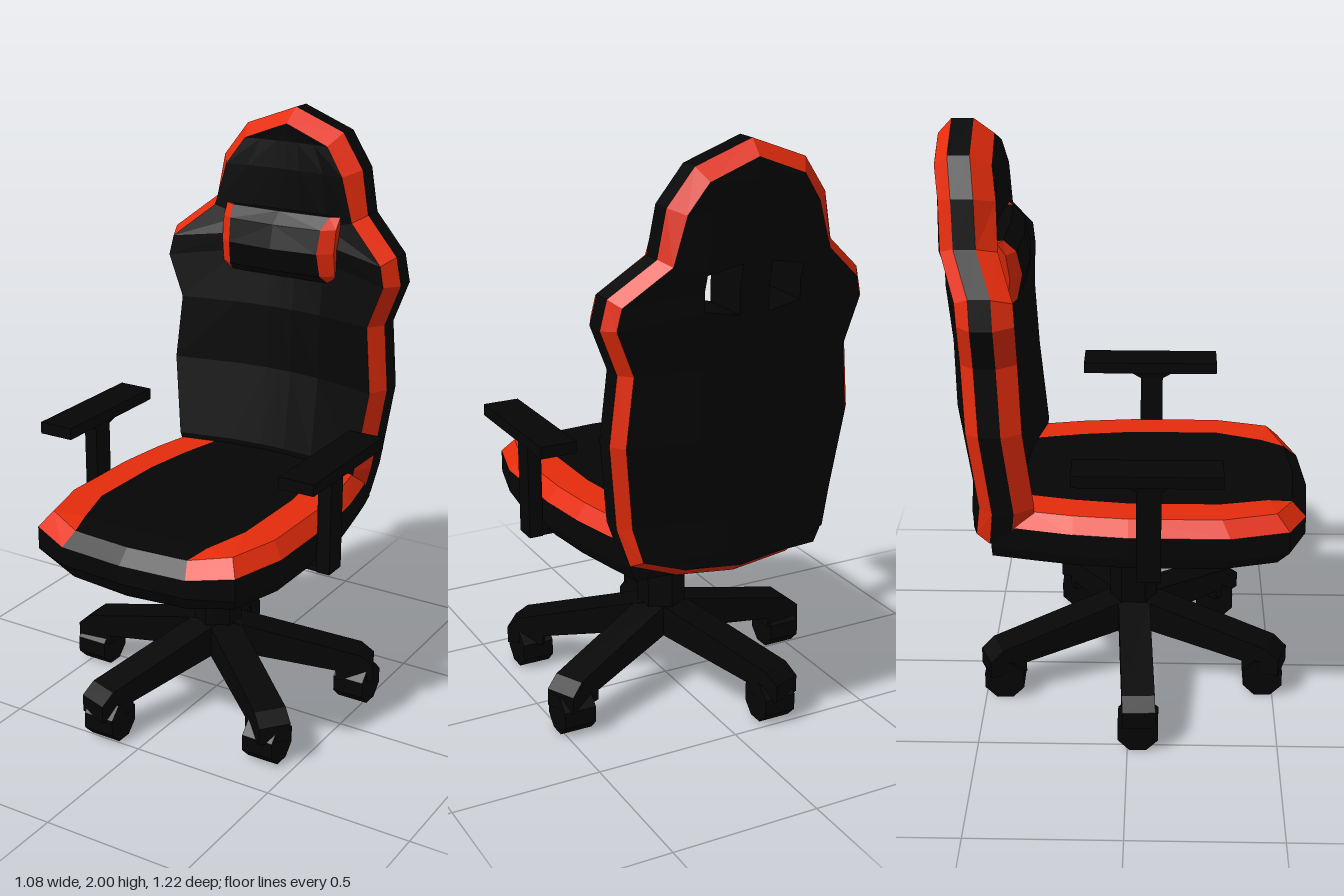
import * as THREE from 'three';

const black = new THREE.MeshStandardMaterial({ color: 0x050505 });
black.name = 'black leather';
const red = new THREE.MeshStandardMaterial({ color: 0xe62c0c });
red.name = 'red trim';

// Triangles of the band between two point rows
function strip(a, b) {
  const out = [];
  for (let i = 0; i < a.length - 1; i++) {
    out.push([a[i], a[i + 1], b[i + 1]], [a[i], b[i + 1], b[i]]);
  }
  return out;
}

// Flat-faced mesh from triangles of the left half, mirrored to the right
function mirrored(name, tris, material) {
  const flip = ([x, y, z]) => [-x, y, z];
  const all = [...tris, ...tris.map(([a, b, c]) => [flip(a), flip(c), flip(b)])];
  const geo = new THREE.BufferGeometry();
  geo.setAttribute('position', new THREE.Float32BufferAttribute(all.flat(2), 3));
  geo.computeVertexNormals();
  const mesh = new THREE.Mesh(geo, material);
  mesh.name = name;
  return mesh;
}

function part(name, geo, x, y, z, parent) {
  const mesh = new THREE.Mesh(geo.index ? geo.toNonIndexed() : geo, black);
  mesh.geometry.computeVertexNormals();
  mesh.name = name;
  mesh.position.set(x, y, z);
  parent.add(mesh);
  return mesh;
}

function createBackrest() {
  const g = new THREE.Group();
  g.name = 'backrest';
  // Outline of the left half from top to bottom: x, y, z of the front side edge
  const edge = [
    [0, 2, -0.495], [0.187, 1.93, -0.49], [0.27, 1.815, -0.475], [0.298, 1.665, -0.47],
    [0.435, 1.55, -0.415], [0.457, 1.455, -0.41], [0.402, 1.31, -0.41], [0.425, 1.085, -0.4],
    [0.39, 0.8, -0.37], [0.35, 0.67, -0.385], [0.2, 0.62, -0.41], [0, 0.6, -0.42],
  ];
  const ring = (inset, dz) => edge.map(([x, y, z], i) => {
    const p = edge[Math.max(i - 1, 0)], n = edge[Math.min(i + 1, edge.length - 1)];
    const dx = n[0] - p[0], dy = n[1] - p[1], len = Math.hypot(dx, dy);
    const w = inset * (y > 1.7 ? 1.2 : 0.85);
    if (x === 0) return [0, y + (y > 1 ? -w : w), z + dz];
    return [x + (dy / len) * w, y - (dx / len) * w, z + dz];
  });
  const front = ring(0.04, 0.065), side = ring(0, 0), rear = ring(0, -0.07), back = ring(0.04, -0.115);
  g.add(mirrored('frontTrim', strip(front, side), red));
  g.add(mirrored('sideBand', strip(side, rear), black));
  g.add(mirrored('rearTrim', strip(rear, back), red));

  // Column of a panel that bows backwards towards the middle, with its slot heights
  const column = (rim, share, maxX, slotY) => rim.map(([rx, ry, rz], i) => {
    const x = Math.min(maxX, rx * share);
    return [x, i > 2 && i < 6 ? slotY[i - 3] : ry, rz - 0.4 * (rx * rx - x * x)];
  });
  const columns = (rim) => [
    column(rim, 0.65, 0.165, [1.615, 1.56, 1.5]),
    column(rim, 0.25, 0.05, [1.64, 1.56, 1.48]),
    column(rim, 0, 0, [1.64, 1.56, 1.48]),
  ];
  const [fOuter, fInner, fMid] = columns(front);
  const [bOuter, bInner, bMid] = columns(back);
  // The two quads at rows 3 and 4 stay open as a slot behind the pillow
  const slotted = (tris) => [...tris.slice(0, 6), ...tris.slice(10)];
  g.add(mirrored('frontPanel', [
    ...strip(fOuter, front), ...slotted(strip(fInner, fOuter)), ...strip(fMid, fInner),
  ], black));
  g.add(mirrored('backPanel', [
    ...strip(back, bOuter), ...slotted(strip(bOuter, bInner)), ...strip(bInner, bMid),
  ], black));
  const slot = (outer, inner) => [
    inner[3], outer[3], outer[4], outer[5], inner[5], inner[4], inner[3],
  ];
  g.add(mirrored('slotWalls', strip(slot(bOuter, bInner), slot(fOuter, fInner)), black));
  return g;
}

function createPillow() {
  const g = new THREE.Group();
  g.name = 'headPillow';
  // Rows from top to bottom: height and fullness
  const rows = [[1.66, 0.5], [1.62, 0.85], [1.54, 1], [1.46, 0.85], [1.43, 0.5]];
  const column = (x, depth, pinch) => [
    [x, 1.655, -0.45],
    ...rows.map(([y, f]) => [x - pinch * f, y, -0.45 + depth * f]),
    [x, 1.435, -0.45],
  ];
  const middle = column(0, 0.125, 0), seam = column(0.207, 0.11, 0.035);
  const end = column(0.225, 0.075, 0.005), root = column(0.228, 0, 0);
  g.add(mirrored('pillowFront', strip(middle, seam), black));
  g.add(mirrored('pillowEnds', [...strip(seam, end), ...strip(end, root)], red));
  return g;
}

function createSeat() {
  const g = new THREE.Group();
  g.name = 'seat';
  // Outline of the left half from front to back: x, z
  const plan = [
    [0, 0.605], [0.235, 0.587], [0.378, 0.525], [0.43, 0.33], [0.43, 0],
    [0.41, -0.18], [0.38, -0.32], [0.35, -0.45], [0, -0.46],
  ];
  // Ring at a height, shifted by drop at the front, scaled about the middle
  const ring = (y, drop, kx, kz) => plan.map(([x, z], i) => [
    x * kx, y - (i < 2 ? drop : 0), z * (z > 0 ? kz : 1),
  ]);
  const top = ring(0.788, 0.02, 0.91, 0.92), outer = ring(0.738, 0.016, 1, 1);
  const low = ring(0.66, 0, 1, 1), base = ring(0.615, 0.01, 0.94, 0.93);
  // Seam between the middle panel and the side panels
  const seam = [
    top[1], [0.235, 0.782, 0.46], [0.281, 0.788, 0.3], [0.281, 0.788, 0],
    [0.258, 0.788, -0.18], [0.228, 0.788, -0.32], [0.2, 0.788, -0.45],
  ];
  const centre = seam.map(([, y, z]) => [0, y, z]);
  const bevel = strip(outer, top);
  g.add(mirrored('sidePanels', [...strip(top.slice(1, 8), seam), ...bevel.slice(2, 14)], red));
  g.add(mirrored('middlePanel', [
    ...strip(seam, centre), [top[0], top[1], centre[0]], ...bevel.slice(0, 2), ...bevel.slice(14),
  ], black));
  g.add(mirrored('seatSides', [...strip(low, outer), ...strip(base, low)], black));
  g.add(mirrored('seatUnderside', strip(base.map(([, , z]) => [0, 0.6, z]), base), black));
  return g;
}

function createArmrests() {
  const g = new THREE.Group();
  g.name = 'armrests';
  for (const s of [-1, 1]) {
    part('armPad', new THREE.BoxGeometry(0.124, 0.04, 0.48), s * 0.463, 0.985, 0.062, g);
    // Flared bracket: a box narrowed at its lower end
    const flare = new THREE.BoxGeometry(0.09, 0.035, 0.17);
    const p = flare.attributes.position;
    for (let i = 0; i < p.count; i++) {
      if (p.getY(i) < 0) p.setXYZ(i, p.getX(i) * 0.53, p.getY(i), p.getZ(i) * 0.47);
    }
    part('armBracket', flare, s * 0.461, 0.95, 0.067, g);
    part('armPost', new THREE.BoxGeometry(0.048, 0.335, 0.08), s * 0.461, 0.775, 0.067, g);
  }
  part('armCrossbar', new THREE.BoxGeometry(0.965, 0.02, 0.08), 0, 0.62, 0.067, g);
  return g;
}

function createBase() {
  const g = new THREE.Group();
  g.name = 'base';
  part('column', new THREE.CylinderGeometry(0.083, 0.083, 0.36, 6), 0, 0.43, 0.01, g);
  part('hub', new THREE.CylinderGeometry(0.083, 0.06, 0.08, 6), 0, 0.23, 0.01, g);
  // Leg side profile: distance from the column, height
  const profile = [
    [0, 0.19], [0.42, 0.125], [0.42, 0.09], [0.55, 0.09],
    [0.55, 0.15], [0.505, 0.188], [0.07, 0.29], [0, 0.29],
  ].map((p) => new THREE.Vector2(...p));
  const legGeo = new THREE.ExtrudeGeometry(new THREE.Shape(profile), { depth: 0.11, bevelEnabled: false });
  legGeo.translate(0, 0, -0.055);
  const casters = [[-0.487, 0.035], [-0.183, -0.435], [0.445, -0.2], [0.375, 0.31], [-0.15, 0.465]];
  for (const [x, z] of casters) {
    const leg = part('leg', legGeo.clone(), 0, 0, 0.01, g);
    leg.rotation.y = -Math.atan2(z - 0.01, x);
    const wheel = new THREE.CylinderGeometry(0.073, 0.073, 0.112, 8);
    wheel.rotateY(Math.PI / 8).rotateZ(Math.PI / 2);
    part('caster', wheel, x, 0.0675, z, g);
  }
  return g;
}

export function createModel() {
  const model = new THREE.Group();
  model.name = 'racingOfficeChair';
  model.add(createBackrest(), createPillow(), createSeat(), createArmrests(), createBase());
  for (const child of model.children) child.position.x = 0.012;
  return model;
}
